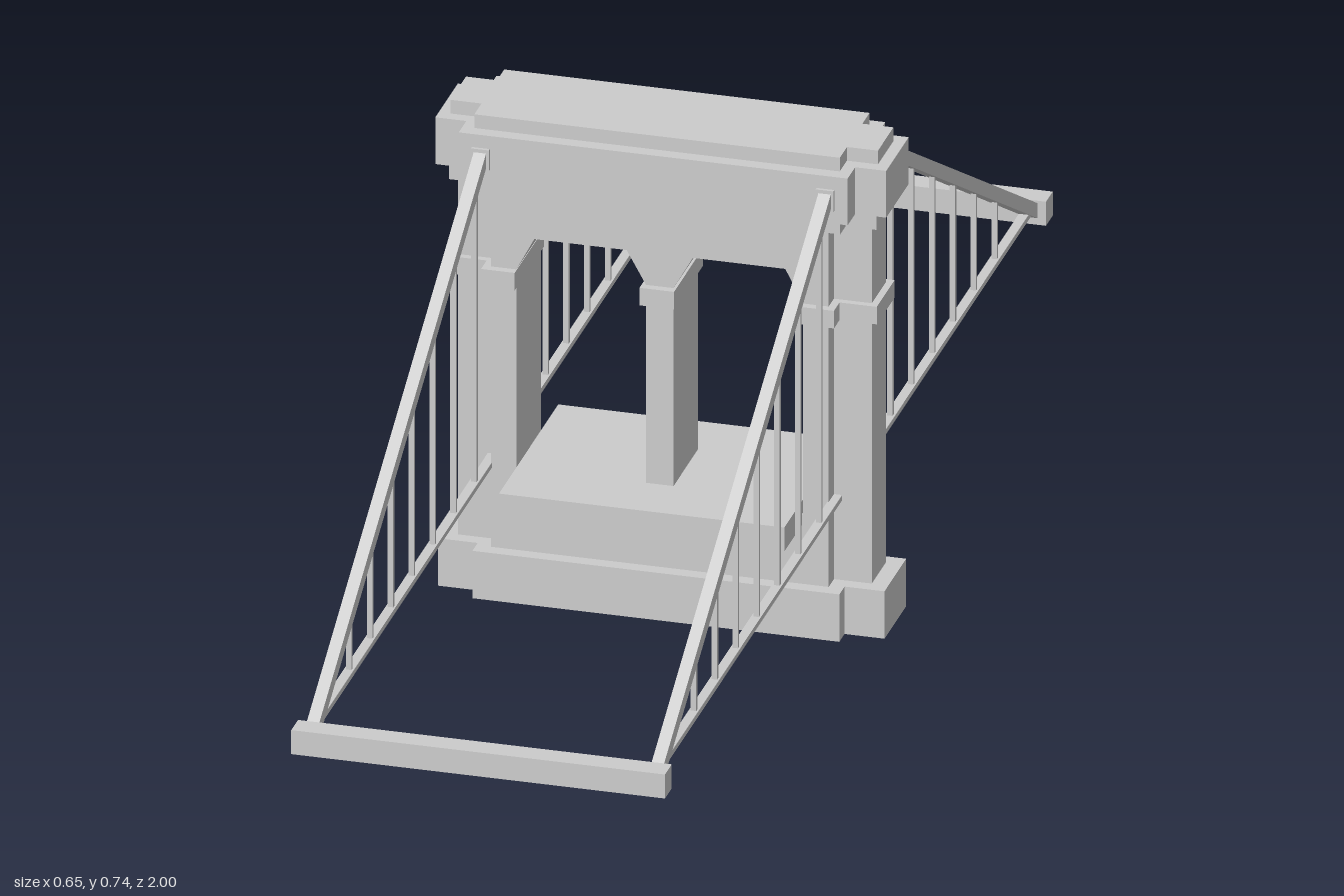
import * as THREE from 'three';

const grey = new THREE.MeshStandardMaterial({ color: 0xcccccc, flatShading: true });

function add(parent, name, geometry, x = 0, y = 0, z = 0) {
  const mesh = new THREE.Mesh(geometry, grey);
  mesh.name = name;
  mesh.position.set(x, y, z);
  parent.add(mesh);
  return mesh;
}

// Box given by its extents
function block(parent, name, x0, x1, y0, y1, z0, z1) {
  return add(parent, name, new THREE.BoxGeometry(x1 - x0, y1 - y0, z1 - z0),
    (x0 + x1) / 2, (y0 + y1) / 2, (z0 + z1) / 2);
}

const polygon = (pts) => pts.map(([x, y]) => new THREE.Vector2(x, y));

// Cross-shaped slab: full width w at depth d, inner width wi at the greater depth di
function crossSlab(parent, name, y0, y1, w, d, wi, di) {
  const shape = new THREE.Shape(polygon([
    [w, -d], [w, d], [wi, d], [wi, di], [-wi, di], [-wi, d],
    [-w, d], [-w, -d], [-wi, -d], [-wi, -di], [wi, -di], [wi, -d],
  ]));
  const geometry = new THREE.ExtrudeGeometry(shape, { depth: y1 - y0, bevelEnabled: false });
  geometry.rotateX(-Math.PI / 2);
  return add(parent, name, geometry, 0, y0, 0);
}

function buildTower() {
  const tower = new THREE.Group();
  tower.name = 'tower';

  // Wall pierced by two openings with chamfered heads
  const wall = new THREE.Shape(polygon([[-0.245, 0.07], [0.245, 0.07], [0.245, 0.63], [-0.245, 0.63]]));
  for (const s of [-1, 1]) {
    wall.holes.push(new THREE.Path(polygon([
      [0.02, 0.18], [0.208, 0.18], [0.208, 0.505], [0.182, 0.555], [0.048, 0.555], [0.02, 0.505],
    ].map(([x, y]) => [s * x, y]))));
  }
  const depth = 0.126;
  add(tower, 'archedWall', new THREE.ExtrudeGeometry(wall, { depth, bevelEnabled: false }), 0, 0, -depth / 2);

  // Side buttresses and impost bands
  for (const s of [-1, 1]) {
    const side = new THREE.Group();
    side.name = s > 0 ? 'leftSide' : 'rightSide';
    tower.add(side);
    const span = (a, b) => (s > 0 ? [a, b] : [-b, -a]);
    block(side, 'buttress', ...span(0.245, 0.3), 0.07, 0.63, -0.036, 0.036);
    block(side, 'impostInner', ...span(0.207, 0.256), 0.478, 0.505, -0.075, 0.075);
    block(side, 'impostOuter', ...span(0.256, 0.31), 0.478, 0.505, -0.046, 0.046);
  }
  block(tower, 'middleImpost', -0.026, 0.024, 0.478, 0.505, -0.075, 0.075);

  // Plinth and stepped cornice
  crossSlab(tower, 'plinth', 0, 0.073, 0.324, 0.056, 0.266, 0.083);
  crossSlab(tower, 'lowerCornice', 0.624, 0.65, 0.31, 0.047, 0.265, 0.075);
  crossSlab(tower, 'cornice', 0.65, 0.722, 0.327, 0.058, 0.282, 0.097);
  crossSlab(tower, 'capstone', 0.722, 0.743, 0.31, 0.04, 0.265, 0.077);

  block(tower, 'deckPlatform', -0.208, 0.206, 0.163, 0.2, -0.153, 0.153);
  return tower;
}

// One suspended span reaching out along +z
function buildSpan() {
  const span = new THREE.Group();
  const top = { z: 0.09, y: 0.692 }, end = { z: 0.975, y: 0.187 };
  const slope = (end.y - top.y) / (end.z - top.z);
  const length = Math.hypot(end.z - top.z, end.y - top.y);

  block(span, 'endBeam', -0.271, 0.271, 0.171, 0.208, 0.965, 1);
  for (const x of [-0.25, 0.25]) {
    const cable = add(span, 'mainCable', new THREE.BoxGeometry(0.018, 0.02, length),
      x, (top.y + end.y) / 2, (top.z + end.z) / 2);
    cable.rotation.x = -Math.atan(slope);
    block(span, 'cableBracket', x - 0.013, x + 0.013, 0.67, 0.702, 0.085, 0.102);
    block(span, 'deckRod', x - 0.007, x + 0.007, 0.196, 0.204, 0.03, 0.97);
    for (let i = 0; i < 7; i++) {
      const z = 0.13 + i * 0.1075;
      block(span, 'hanger', x - 0.004, x + 0.004, 0.2, top.y + slope * (z - top.z), z - 0.003, z + 0.003);
    }
  }
  return span;
}

export function createModel() {
  const model = new THREE.Group();
  model.name = 'suspensionBridgeTower';
  model.add(buildTower());
  const front = buildSpan();
  front.name = 'frontSpan';
  const back = buildSpan();
  back.name = 'backSpan';
  back.rotation.y = Math.PI;
  model.add(front, back);
  return model;
}
